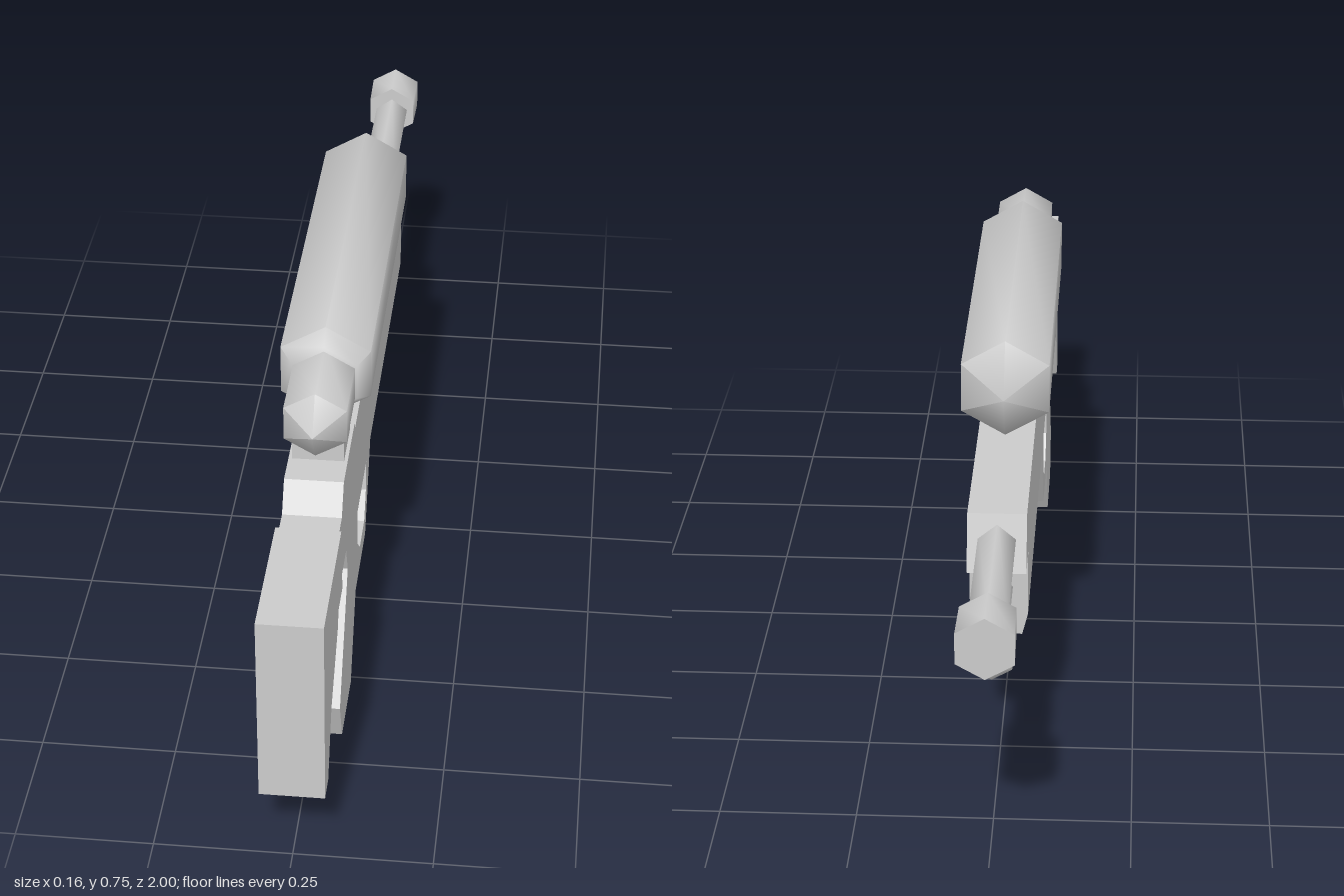
import * as THREE from 'three';
import { toCreasedNormals } from 'three/addons/utils/BufferGeometryUtils.js';

const material = new THREE.MeshStandardMaterial({ color: 0xcccccc, side: THREE.DoubleSide });

function part(name, geometry) {
  const mesh = new THREE.Mesh(geometry, material);
  mesh.name = name;
  return mesh;
}

// Side profile given as [z, y] points, extruded symmetrically across x.
function slab(name, points, width, hole) {
  const toVec = ([z, y]) => new THREE.Vector2(-z, y);
  const shape = new THREE.Shape(points.map(toVec));
  if (hole) shape.holes.push(new THREE.Path(hole.map(toVec)));
  const geometry = new THREE.ExtrudeGeometry(shape, { depth: width, bevelEnabled: false });
  geometry.translate(0, 0, -width / 2).rotateY(Math.PI / 2);
  return part(name, geometry);
}

// Faceted round part along z, profile given as [radius, z] with z rising.
function turned(name, profile, y, sides = 6, crease = 1.1) {
  const points = profile.map(([r, z]) => new THREE.Vector2(r, z));
  const geometry = new THREE.LatheGeometry(points, sides);
  geometry.rotateX(Math.PI / 2).rotateZ(Math.PI);
  const mesh = part(name, toCreasedNormals(geometry, crease));
  mesh.position.y = y;
  return mesh;
}

function box(name, width, y0, y1, z0, z1) {
  const mesh = part(name, new THREE.BoxGeometry(width, y1 - y0, z1 - z0));
  mesh.position.set(0, (y0 + y1) / 2, (z0 + z1) / 2);
  return mesh;
}

export function createModel() {
  const model = new THREE.Group();
  model.name = 'waterBlaster';

  // Receiver, grip and trigger guard in one silhouette
  model.add(slab('body', [
    [0.73, 0.5], [0.67, 0.5], [0.635, 0.553], [0.447, 0.553], [0.435, 0.537],
    [0.03, 0.537], [0.01, 0.515], [-0.105, 0.515], [-0.18, 0.543], [-0.597, 0.543],
    [-0.63, 0.44], [-0.545, 0.44], [-0.545, 0.313], [0.14, 0.313], [0.24, 0.152],
    [0.425, 0.152], [0.515, 0], [0.675, 0.005], [0.71, 0.095], [0.57, 0.313],
    [0.597, 0.375], [0.73, 0.375],
  ], 0.107, [
    [0.393, 0.313], [0.222, 0.313], [0.228, 0.25], [0.26, 0.197], [0.345, 0.197], [0.393, 0.24],
  ]));

  // Shoulder stock
  model.add(slab('stock', [
    [1, 0.511], [0.725, 0.511], [0.71, 0.375], [0.775, 0.375], [0.785, 0.345],
    [0.895, 0.25], [0.95, 0.135], [1, 0.135],
  ], 0.117));

  // Trigger
  model.add(slab('trigger', [
    [0.36, 0.32], [0.305, 0.32], [0.312, 0.265], [0.297, 0.212], [0.355, 0.26],
  ], 0.03));

  // Fore-end grip, narrowing towards its underside
  const foreEnd = slab('foreEnd', [
    [-0.22, 0.313], [-0.545, 0.313], [-0.545, 0.27], [-0.245, 0.27],
  ], 0.107);
  const pos = foreEnd.geometry.attributes.position;
  for (let i = 0; i < pos.count; i++) {
    if (pos.getY(i) < 0.3) pos.setX(i, pos.getX(i) * 0.8);
  }
  foreEnd.geometry.computeVertexNormals();
  model.add(foreEnd);

  // Barrel with hexagonal muzzle
  model.add(turned('barrel', [[0.036, -0.92], [0.036, -0.58]], 0.488, 5, 1.3));
  model.add(turned('muzzle', [[0, -1], [0.058, -1], [0.056, -0.905], [0, -0.905]], 0.494));

  // Pump rod and knob
  model.add(turned('pumpRod', [[0.027, -0.75], [0.027, -0.53]], 0.36, 5, 1.3));
  model.add(turned('pumpKnob', [
    [0, -0.82], [0.022, -0.818], [0.042, -0.8], [0.042, -0.74], [0, -0.735],
  ], 0.362));

  // Water tank with its filler cap
  model.add(turned('tank', [
    [0, -0.367], [0.095, -0.308], [0.095, 0.44], [0.07, 0.47], [0, 0.47],
  ], 0.658));
  model.add(turned('tankCap', [[0.065, 0.44], [0.065, 0.61], [0, 0.655]], 0.655));

  // Tank mounts
  model.add(box('rearMount', 0.094, 0.54, 0.62, 0.465, 0.57));
  model.add(box('frontMount', 0.06, 0.53, 0.59, 0.093, 0.165));

  return model;
}
